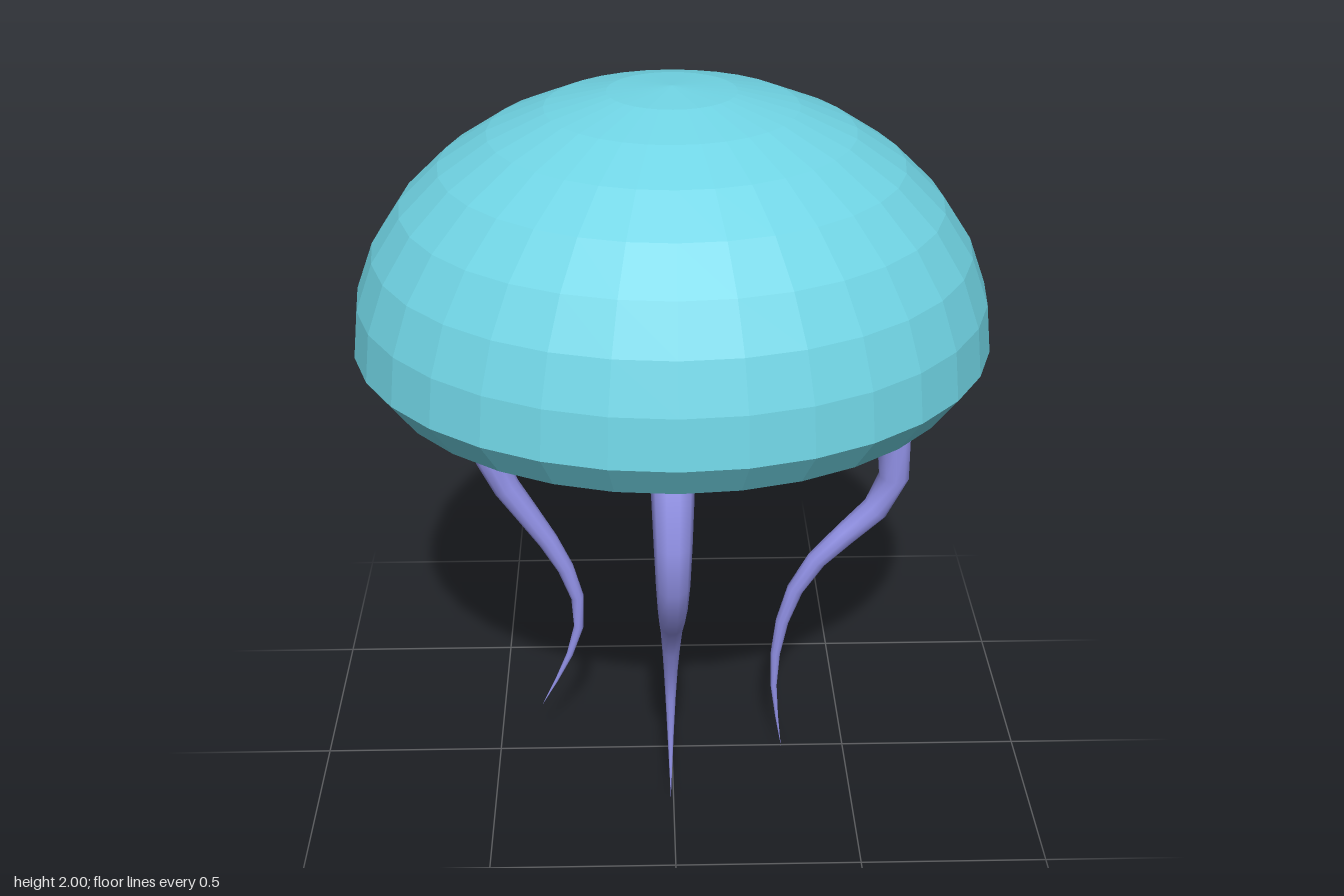
import * as THREE from 'three';

const RX = 0.806, RZ = 0.72, EQUATOR = 1.355, RIM = 1.265;

// Faceted bell: conical hollow, undercut rim and outer dome in one lathe profile.
function makeBell(material) {
  const profile = [];
  const innerSteps = 4, outerSteps = 8;
  for (let i = 0; i <= innerSteps; i++) {
    const t = i / innerSteps;
    profile.push(new THREE.Vector2(0.742 * t, THREE.MathUtils.lerp(1.9, RIM, t)));
  }
  for (let i = outerSteps; i >= 0; i--) {
    const a = (i / outerSteps) * Math.PI / 2;
    profile.push(new THREE.Vector2(RX * Math.sin(a), EQUATOR + (2 - EQUATOR) * Math.cos(a)));
  }
  const geometry = new THREE.LatheGeometry(profile, 32);
  geometry.scale(1, 1, RZ / RX);
  const bell = new THREE.Mesh(geometry, material);
  bell.name = 'bell';
  return bell;
}

// Tentacle: a tube whose rings shrink steadily to a point at the tip.
function makeTentacle(points, material) {
  const segments = 18, sides = 10, radius = 0.082;
  const curve = new THREE.CatmullRomCurve3(points);
  const geometry = new THREE.TubeGeometry(curve, segments, radius, sides);
  const pos = geometry.attributes.position;
  const v = new THREE.Vector3();
  for (let i = 0; i <= segments; i++) {
    const centre = curve.getPointAt(i / segments);
    for (let j = 0; j <= sides; j++) {
      const k = i * (sides + 1) + j;
      v.fromBufferAttribute(pos, k).sub(centre).multiplyScalar(1 - i / segments).add(centre);
      pos.setXYZ(k, v.x, v.y, v.z);
    }
  }
  return new THREE.Mesh(geometry, material);
}

export function createModel() {
  const model = new THREE.Group();
  model.name = 'jellyfish';
  const bellMaterial = new THREE.MeshStandardMaterial({ color: 0x70d4e4, flatShading: true });
  const tentacleMaterial = new THREE.MeshStandardMaterial({ color: 0x9090e4 });
  model.add(makeBell(bellMaterial));

  // Each path is [distance from the axis, height], from the bell to the tip.
  const root = [[0.08, 1.76], [0.27, 1.51]];
  const tentacles = [
    { name: 'rightTentacle', place: (d, y) => [-d, y, 0.005],
      path: [[0.45, 1.26], [0.495, 1.06], [0.46, 0.93], [0.39, 0.81], [0.33, 0.71], [0.28, 0.6], [0.257, 0.48], [0.29, 0.34], [0.375, 0.16]] },
    { name: 'leftTentacle', place: (d, y) => [d, y, 0.005],
      path: [[0.48, 1.27], [0.57, 1.1], [0.597, 0.96], [0.585, 0.87], [0.53, 0.79], [0.42, 0.68], [0.345, 0.56], [0.303, 0.41], [0.292, 0.23], [0.32, 0.0]] },
    { name: 'frontTentacle', place: (d, y) => [-0.01, y, d],
      path: [[0.54, 1.26], [0.612, 1.03], [0.585, 0.92], [0.51, 0.81], [0.42, 0.71], [0.36, 0.6], [0.315, 0.48], [0.305, 0.31], [0.335, 0.09]] },
    { name: 'backTentacle', place: (d, y) => [-0.01, y, -d],
      path: [[0.52, 1.26], [0.597, 1.03], [0.55, 0.92], [0.47, 0.81], [0.38, 0.71], [0.33, 0.6], [0.297, 0.48], [0.285, 0.31], [0.32, 0.08]] },
  ];
  for (const { name, place, path } of tentacles) {
    const points = [...root, ...path].map(([d, y]) => new THREE.Vector3(...place(d, y)));
    const tentacle = makeTentacle(points, tentacleMaterial);
    tentacle.name = name;
    model.add(tentacle);
  }
  return model;
}
